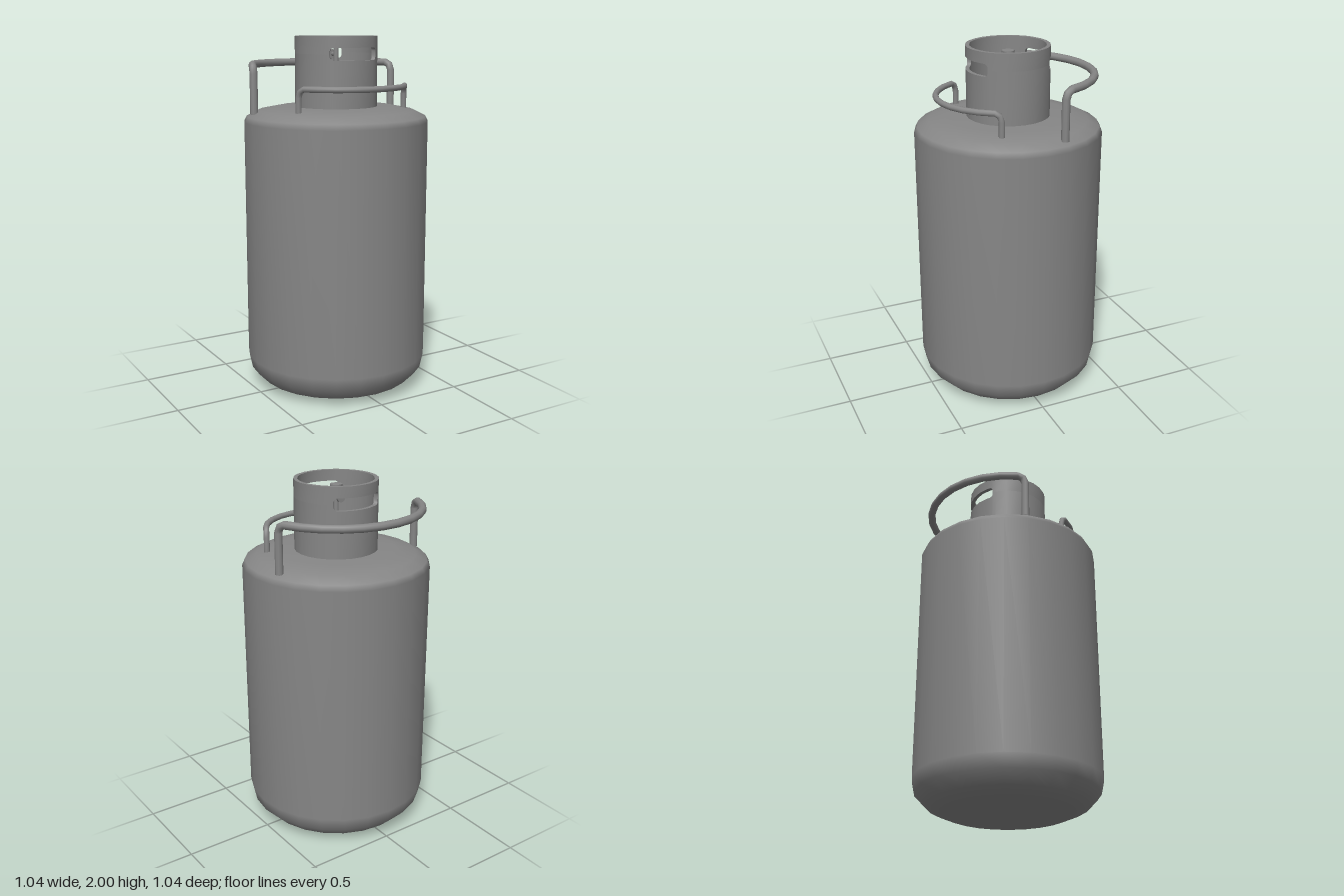
import * as THREE from 'three';
import { mergeVertices, toCreasedNormals } from 'three/addons/utils/BufferGeometryUtils.js';

const material = new THREE.MeshStandardMaterial({ color: 0x868686 });
const rad = THREE.MathUtils.degToRad;

function add(parent, name, geometry) {
  const mesh = new THREE.Mesh(geometry, material);
  mesh.name = name;
  parent.add(mesh);
  return mesh;
}

// Lathe with area-weighted smooth normals, so the large faces stay evenly shaded.
function lathe(points, sides) {
  const turned = new THREE.LatheGeometry(points.map(([r, y]) => new THREE.Vector2(r, y)), sides);
  turned.deleteAttribute('uv');
  turned.deleteAttribute('normal');
  const geometry = mergeVertices(turned);
  geometry.computeVertexNormals();
  return geometry;
}

// Closed curved wall; each station is [angle from +z in degrees, low y, high y].
function curvedWall(stations, inner, outer) {
  const position = [], index = [];
  stations.forEach(([deg, lo, hi], i) => {
    const s = Math.sin(rad(deg)), c = Math.cos(rad(deg));
    for (const [r, y] of [[outer, lo], [outer, hi], [inner, hi], [inner, lo]]) position.push(r * s, y, r * c);
    if (i === 0) return;
    for (let k = 0; k < 4; k++) {
      const a = (i - 1) * 4 + k, b = (i - 1) * 4 + (k + 1) % 4;
      index.push(a, a + 4, b + 4, a, b + 4, b);
    }
  });
  const geometry = new THREE.BufferGeometry();
  geometry.setAttribute('position', new THREE.Float32BufferAttribute(position, 3));
  geometry.setIndex(index);
  return toCreasedNormals(geometry, rad(35));
}

// Guard collar: lower and upper bands that part to leave a rounded slot front and back.
function collar() {
  const group = new THREE.Group();
  group.name = 'collar';
  const mid = 1.905;
  // Half opening of the slot along its angle; the repeated angle makes the upright end.
  const half = [[39, 0], [39, 0.017], [37.8, 0.027], [35, 0.034], [30, 0.034], [15, 0.034]];
  const slot = [...half.map(([a, h]) => [-a, h]), [0, 0.034], ...half.slice().reverse()];
  const opening = [];
  for (const base of [0, 180]) {
    slot.forEach(([a, h]) => opening.push([base + a, h]));
    for (let a = 45; a <= 135; a += 15) opening.push([base + a, 0]);
  }
  opening.push([321, 0]);
  add(group, 'collarLowerBand', curvedWall(opening.map(([a, h]) => [a, 1.6, mid - h]), 0.208, 0.23));
  add(group, 'collarUpperBand', curvedWall(opening.map(([a, h]) => [a, mid + h, 2]), 0.208, 0.23));
  return group;
}

// Bent tube with straight facets: two upright legs joined by a level arc.
// rx and rz are the arc's radii; a negative rz puts the handle at the back.
function handle(rx, rz, startDeg, steps, bottom, top, tube) {
  const at = (deg, y) => new THREE.Vector3(rx * Math.cos(rad(deg)), y, rz * Math.sin(rad(deg)));
  const leg = [[0, bottom], [0, top - 0.045], [1.5, top - 0.014], [5, top]];
  const from = startDeg + 5, span = 180 - 2 * from;
  const points = leg.map(([d, y]) => at(startDeg + d, y));
  for (let i = 1; i < steps; i++) points.push(at(from + span * i / steps, top));
  points.push(...leg.reverse().map(([d, y]) => at(180 - startDeg - d, y)));

  const last = points.length - 1;
  const path = new THREE.Curve();
  path.getPoint = (t) => {
    const i = Math.min(Math.floor(t * last + 1e-9), last - 1);
    return points[i].clone().lerp(points[i + 1], t * last - i);
  };
  path.getPointAt = path.getPoint;
  path.getTangentAt = (t) => path.getTangent(t);
  return new THREE.TubeGeometry(path, last, tube, 10);
}

export function createModel() {
  const model = new THREE.Group();
  model.name = 'gasCylinder';

  // Tank with rounded shoulder and base
  add(model, 'tank', lathe([
    [0, 0], [0.345, 0], [0.44, 0.04], [0.503, 0.105], [0.519, 0.18],
    [0.519, 1.53], [0.503, 1.56], [0.44, 1.592], [0.33, 1.613], [0, 1.613],
  ], 24));

  model.add(collar());

  // Carrying handles
  add(model, 'backHandle', handle(0.467, -0.468, 15.5, 11, 1.575, 1.842, 0.022));
  add(model, 'frontHandle', handle(0.376, 0.398, 27, 9, 1.595, 1.728, 0.0165));

  // Valve inside the collar
  const valve = new THREE.Group();
  valve.name = 'valve';
  model.add(valve);
  add(valve, 'valveBase', lathe([[0.077, 1.6], [0.077, 1.755], [0.065, 1.775], [0.035, 1.79], [0.012, 1.795]], 20));
  add(valve, 'valveStem', new THREE.CylinderGeometry(0.014, 0.014, 0.17, 14)).position.y = 1.865;
  const knob = new THREE.CylinderGeometry(0.034, 0.034, 0.03, 18);
  add(valve, 'valveKnob', knob).position.y = 1.952;
  const pipe = add(valve, 'outletPipe', new THREE.CylinderGeometry(0.012, 0.012, 0.04, 14));
  pipe.rotation.x = Math.PI / 2;
  pipe.position.set(0, 1.9, -0.02);
  const outlet = add(valve, 'outletNut', new THREE.CylinderGeometry(0.026, 0.026, 0.014, 16));
  outlet.rotation.x = Math.PI / 2;
  outlet.position.set(0, 1.9, -0.043);

  return model;
}
